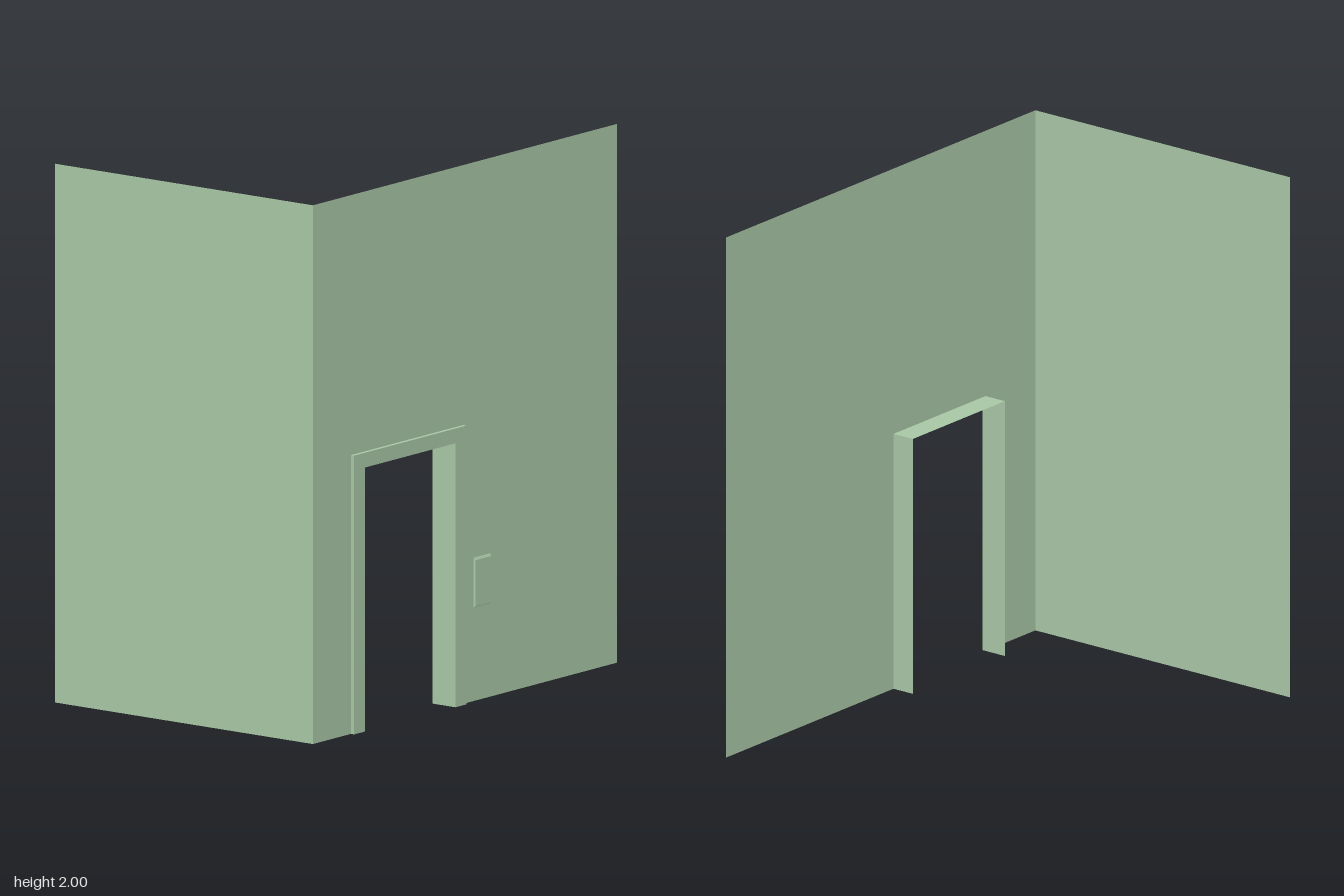
import * as THREE from 'three';

const WALL_Z = 0.585, FRONT_Z = 0.6, BACK_Z = -0.6, HALF_W = 0.9, HEIGHT = 2;
const OUTER = { l: -0.675, r: -0.01, t: 1.035 };   // outer edge of the door trim
const INNER = { l: -0.61, r: -0.075, t: 0.98 };    // clear door opening

const material = new THREE.MeshStandardMaterial({
  color: 0xa9c8a7, side: THREE.DoubleSide, flatShading: true,
});

function add(parent, name, geometry, x = 0, y = 0, z = 0) {
  const mesh = new THREE.Mesh(geometry, material);
  mesh.name = name;
  mesh.position.set(x, y, z);
  parent.add(mesh);
  return mesh;
}

// Upside-down U between a large outline and an opening that reaches the floor
function archShape(out, hole) {
  return new THREE.Shape([
    [out.l, 0], [hole.l, 0], [hole.l, hole.t], [hole.r, hole.t],
    [hole.r, 0], [out.r, 0], [out.r, out.t], [out.l, out.t],
  ].map(([x, y]) => new THREE.Vector2(x, y)));
}

export function createModel() {
  const model = new THREE.Group();
  model.name = 'roomCorner';

  // Thin walls: the front one is cut out for the doorway
  const wallOutline = { l: -HALF_W, r: HALF_W, t: HEIGHT };
  add(model, 'frontWall', new THREE.ShapeGeometry(archShape(wallOutline, OUTER)), 0, 0, WALL_Z);
  const depth = WALL_Z - BACK_Z;
  add(model, 'sideWall', new THREE.PlaneGeometry(depth, HEIGHT).rotateY(-Math.PI / 2),
    -HALF_W, HEIGHT / 2, (WALL_Z + BACK_Z) / 2);

  // Door trim standing proud of the wall
  const door = new THREE.Group();
  door.name = 'doorFrame';
  model.add(door);
  add(door, 'doorTrim', new THREE.ExtrudeGeometry(archShape(OUTER, INNER), {
    depth: FRONT_Z - WALL_Z, bevelEnabled: false,
  }), 0, 0, WALL_Z);

  // Thin lining running back from the trim
  const liningDepth = 0.09, liningZ = WALL_Z - liningDepth / 2;
  for (const [name, x] of [['rightJamb', INNER.l], ['leftJamb', INNER.r]]) {
    add(door, name, new THREE.PlaneGeometry(liningDepth, INNER.t).rotateY(Math.PI / 2),
      x, INNER.t / 2, liningZ);
  }
  add(door, 'lintel', new THREE.PlaneGeometry(INNER.r - INNER.l, liningDepth).rotateX(-Math.PI / 2),
    (INNER.l + INNER.r) / 2, INNER.t, liningZ);

  // Shallow wall plate with sloping edges
  const w = 0.1, h = 0.185, t = 0.005;
  const plate = new THREE.BoxGeometry(w, h, t);
  const p = plate.attributes.position;
  for (let i = 0; i < p.count; i++) {
    if (p.getZ(i) > 0) {
      p.setX(i, p.getX(i) - Math.sign(p.getX(i)) * 0.004);
      p.setY(i, p.getY(i) - (p.getY(i) > 0 ? 0.01 : -0.003));
    }
  }
  plate.computeVertexNormals();
  add(model, 'wallPlate', plate, 0.102, 0.44, WALL_Z + t / 2);

  return model;
}
